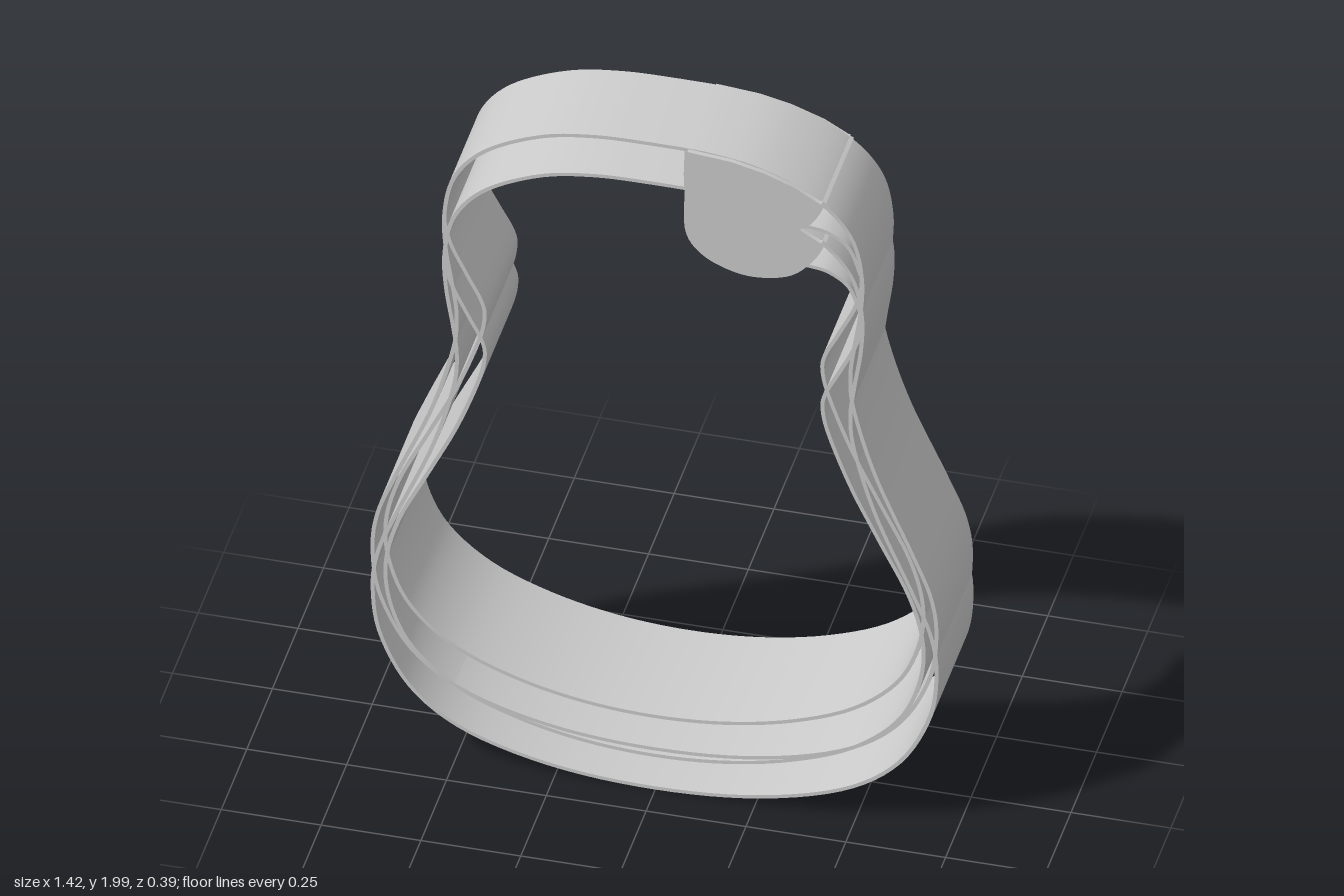
import * as THREE from 'three';
import { toCreasedNormals } from 'three/addons/utils/BufferGeometryUtils.js';

const material = new THREE.MeshStandardMaterial({ color: 0xcccccc, side: THREE.DoubleSide });
const WALL = 0.01;
const DROP = 0.12; // the second set sits this much lower

// Depth taper: deep at the bottom, shallow at the top
const frontZ = (y) => 0.161 + 0.0125 * y;
const backZ = (y) => -0.195 + 0.035 * y + 0.0115 * y * y;

const vectors = (list) => list.map(([x, y]) => new THREE.Vector2(x, y));
const smooth = (list, n) => new THREE.SplineCurve(vectors(list)).getPoints(n);

// Extrude a shape so its ends follow the given front and back depth rules
function taperedPrism(name, shape, front, back) {
  const geo = new THREE.ExtrudeGeometry(shape, { depth: 1, bevelEnabled: false });
  const p = geo.attributes.position;
  for (let i = 0; i < p.count; i++) {
    const y = p.getY(i);
    p.setZ(i, p.getZ(i) > 0.5 ? front(y) : back(y));
  }
  const mesh = new THREE.Mesh(toCreasedNormals(geo, 0.6), material);
  mesh.name = name;
  return mesh;
}

// Shift each point sideways along the path normal
function offset(points, distance, closed) {
  const n = points.length;
  return points.map((p, i) => {
    const a = points[closed ? (i + n - 1) % n : Math.max(i - 1, 0)];
    const b = points[closed ? (i + 1) % n : Math.min(i + 1, n - 1)];
    const t = b.clone().sub(a).normalize();
    return new THREE.Vector2(p.x + t.y * distance, p.y - t.x * distance);
  });
}

// Right half outlines, from top centre to bottom centre
const shoulder = [[0, 2], [0.14, 1.996], [0.28, 1.97], [0.42, 1.9], [0.5, 1.805], [0.527, 1.69]];
const outlines = {
  wideWaist: [...shoulder, [0.525, 1.58], [0.506, 1.45], [0.498, 1.37], [0.507, 1.27], [0.56, 1.08],
    [0.65, 0.86], [0.698, 0.73], [0.711, 0.61], [0.69, 0.47], [0.61, 0.32], [0.47, 0.215],
    [0.25, 0.15], [0, 0.13]],
  narrowWaist: [...shoulder, [0.515, 1.6], [0.47, 1.5], [0.436, 1.43], [0.428, 1.38], [0.445, 1.3],
    [0.5, 1.15], [0.57, 1.0], [0.645, 0.84], [0.678, 0.7], [0.665, 0.57], [0.61, 0.45],
    [0.5, 0.35], [0.35, 0.283], [0.18, 0.243], [0, 0.23]],
};

// Closed side band with an even wall
function sideBand(name, half, drop) {
  const mirrored = half.slice(1, -1).reverse().map(([x, y]) => [-x, y]);
  const loop = smooth([...half, ...mirrored, half[0]], 200).slice(0, -1);
  loop.forEach((p) => { p.y -= drop; });
  const shape = new THREE.Shape(loop);
  shape.holes.push(new THREE.Path(offset(loop, WALL, true)));
  return taperedPrism(name, shape, frontZ, backZ);
}

// Cutaway: curved wall, rounded horn, and thin caps front and back
function cutaway(drop) {
  const group = new THREE.Group();
  group.name = 'cutaway';
  const lower = (pts) => pts.map((p) => new THREE.Vector2(p.x, p.y - drop));
  const scoop = lower(smooth([[0.09, 1.99], [0.09, 1.87], [0.125, 1.81], [0.19, 1.775], [0.26, 1.765],
    [0.34, 1.785], [0.395, 1.84], [0.425, 1.9]], 36));
  const horn = lower(smooth([[0.385, 1.82], [0.44, 1.81], [0.495, 1.77], [0.525, 1.69]], 16));
  const strip = (pts) => new THREE.Shape([...pts, ...offset(pts, WALL, false).reverse()]);
  group.add(taperedPrism('cutawayWall', strip(scoop), frontZ, backZ));
  group.add(taperedPrism('cutawayHorn', strip(horn), frontZ, backZ));

  const edge = lower(vectors([[0.42, 1.9], [0.36, 1.937], [0.28, 1.968], [0.2, 1.987], [0.09, 1.997]]));
  const cap = new THREE.Shape([...scoop, ...edge]);
  group.add(taperedPrism('frontCap', cap, (y) => frontZ(y) + 0.012, (y) => frontZ(y) - 0.001));
  group.add(taperedPrism('backCap', cap, (y) => backZ(y) + 0.001, (y) => backZ(y) - 0.006));
  return group;
}

export function createModel() {
  const model = new THREE.Group();
  model.name = 'instrumentSides';
  for (const drop of [0, DROP]) {
    for (const [name, half] of Object.entries(outlines)) {
      model.add(sideBand(name + 'Band', half, drop));
    }
    model.add(cutaway(drop));
  }
  return model;
}
